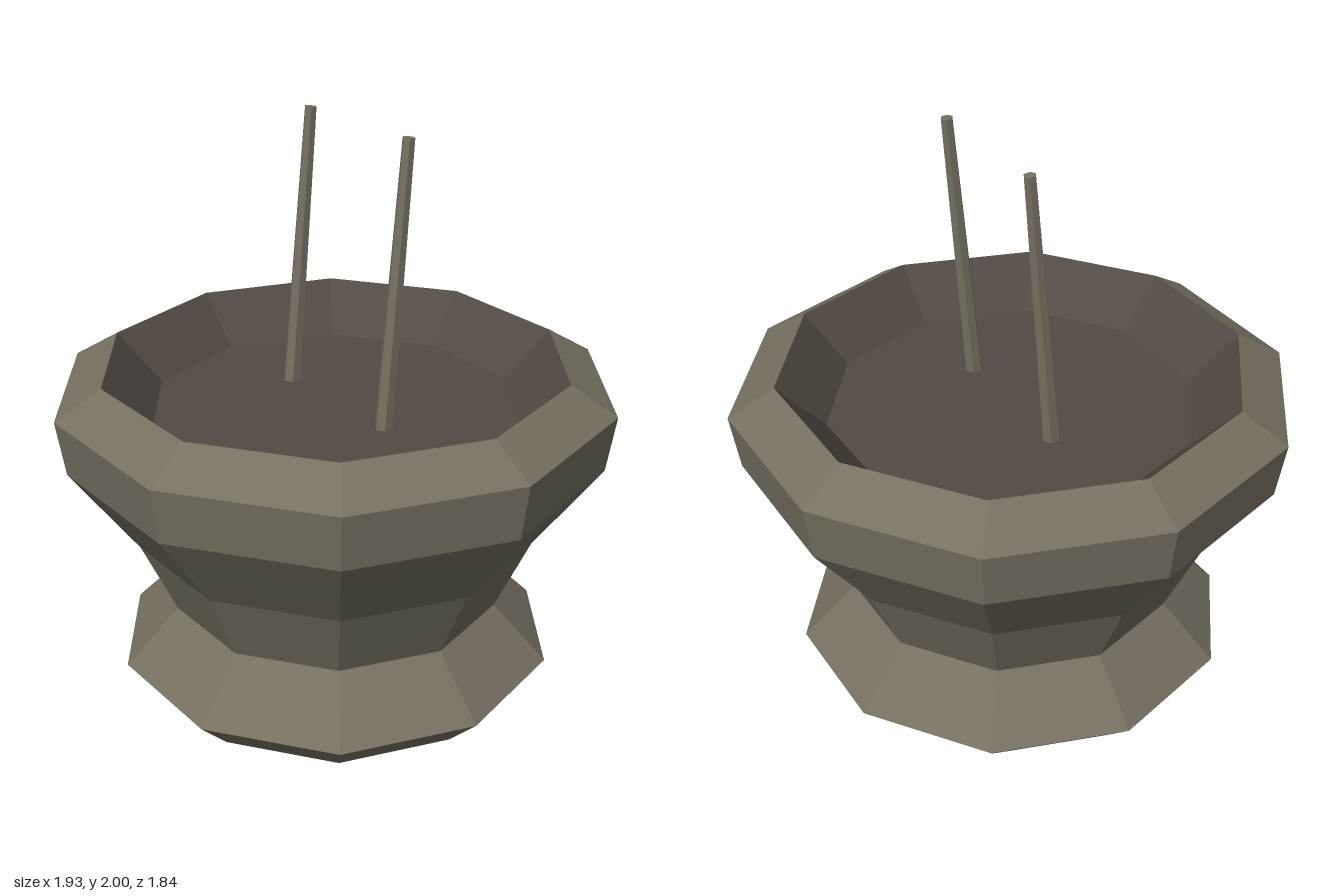
import * as THREE from 'three';

const SIDES = 10;

export function createModel() {
  const group = new THREE.Group();
  const stone = new THREE.MeshStandardMaterial({ color: 0x767061, flatShading: true });
  stone.name = 'olive stone';
  const soot = new THREE.MeshStandardMaterial({ color: 0x524a44, flatShading: true });
  soot.name = 'dark inside';

  // ten-sided turned part, with corners on the x axis
  const turned = (name, profile, material) => {
    const points = profile.map(([r, y]) => new THREE.Vector2(r, y));
    const mesh = new THREE.Mesh(new THREE.LatheGeometry(points, SIDES, Math.PI / 2), material);
    mesh.name = name;
    group.add(mesh);
  };

  // base, waist, flared bowl and sloping rim
  turned('bowl', [
    [0, 0], [0.645, 0], [0.775, 0.13], [0.585, 0.325], [0.705, 0.59],
    [0.935, 0.905], [0.965, 1.1], [0.805, 1.197],
  ], stone);

  // sloping inner wall and flat fill
  turned('bowlInside', [[0.805, 1.197], [0.642, 1.03], [0, 1.03]], soot);

  // two thin tapered sticks leaning back
  for (const side of [-1, 1]) {
    const foot = new THREE.Vector3(side * 0.26, 1.02, -0.004);
    const tip = new THREE.Vector3(side * 0.257, 1.998, -0.093);
    const along = tip.clone().sub(foot);
    const stick = new THREE.Mesh(new THREE.CylinderGeometry(0.021, 0.031, along.length(), 6), stone);
    stick.position.copy(foot).add(tip).multiplyScalar(0.5);
    stick.quaternion.setFromUnitVectors(new THREE.Vector3(0, 1, 0), along.normalize());
    stick.name = side > 0 ? 'leftStick' : 'rightStick';
    group.add(stick);
  }

  return group;
}
